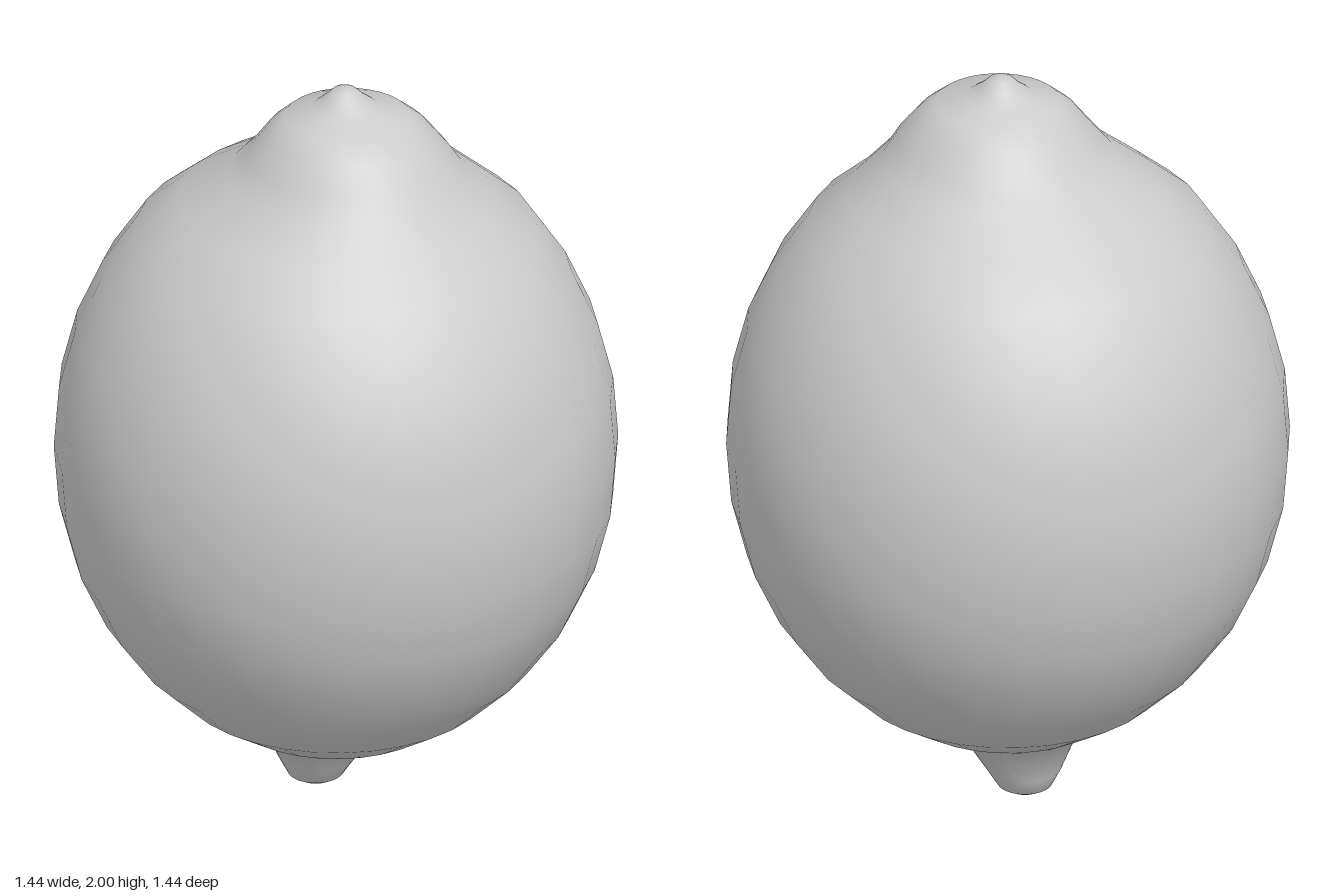
import * as THREE from 'three';
import { mergeVertices } from 'three/addons/utils/BufferGeometryUtils.js';

// Rings of the fruit from stem to tip: [height, radius, sideways shift]
const RINGS = [
  // stem nub, leaning right
  [0, 0, -0.07], [0.003, 0.04, -0.07], [0.02, 0.07, -0.07], [0.065, 0.096, -0.066], [0.17, 0.155, -0.045],
  // round body
  [0.215, 0.275, 0], [0.295, 0.4, 0], [0.4, 0.51, 0], [0.525, 0.6, 0], [0.665, 0.665, 0], [0.82, 0.705, 0],
  [0.985, 0.718, 0], [1.15, 0.705, 0], [1.305, 0.665, 0], [1.45, 0.6, 0], [1.585, 0.51, 0], [1.675, 0.405, 0.004],
  // shoulder and crown, leaning left
  [1.76, 0.3, 0.035], [1.815, 0.258, 0.045], [1.88, 0.207, 0.042], [1.92, 0.16, 0.04],
  // pointed tip
  [1.942, 0.088, 0.033], [1.97, 0.052, 0.03], [1.992, 0.03, 0.03], [2, 0, 0.03],
];
const SIDES = 32;

export function createModel() {
  const group = new THREE.Group();
  group.name = 'lemon';

  const lathe = new THREE.LatheGeometry(RINGS.map(([y, r]) => new THREE.Vector2(r, y)), SIDES);

  // Slide each ring sideways so the stem and crown sit off-centre
  const pos = lathe.attributes.position;
  for (let i = 0; i < pos.count; i++) {
    pos.setX(i, pos.getX(i) + RINGS[i % RINGS.length][2]);
  }

  // Weld the seam and poles for smooth shading all round
  lathe.deleteAttribute('uv');
  lathe.deleteAttribute('normal');
  const skin = mergeVertices(lathe, 1e-4);
  skin.computeVertexNormals();

  const fruit = new THREE.Mesh(skin, new THREE.MeshStandardMaterial({ color: 0xcccccc }));
  fruit.name = 'fruitBody';
  group.add(fruit);
  return group;
}
